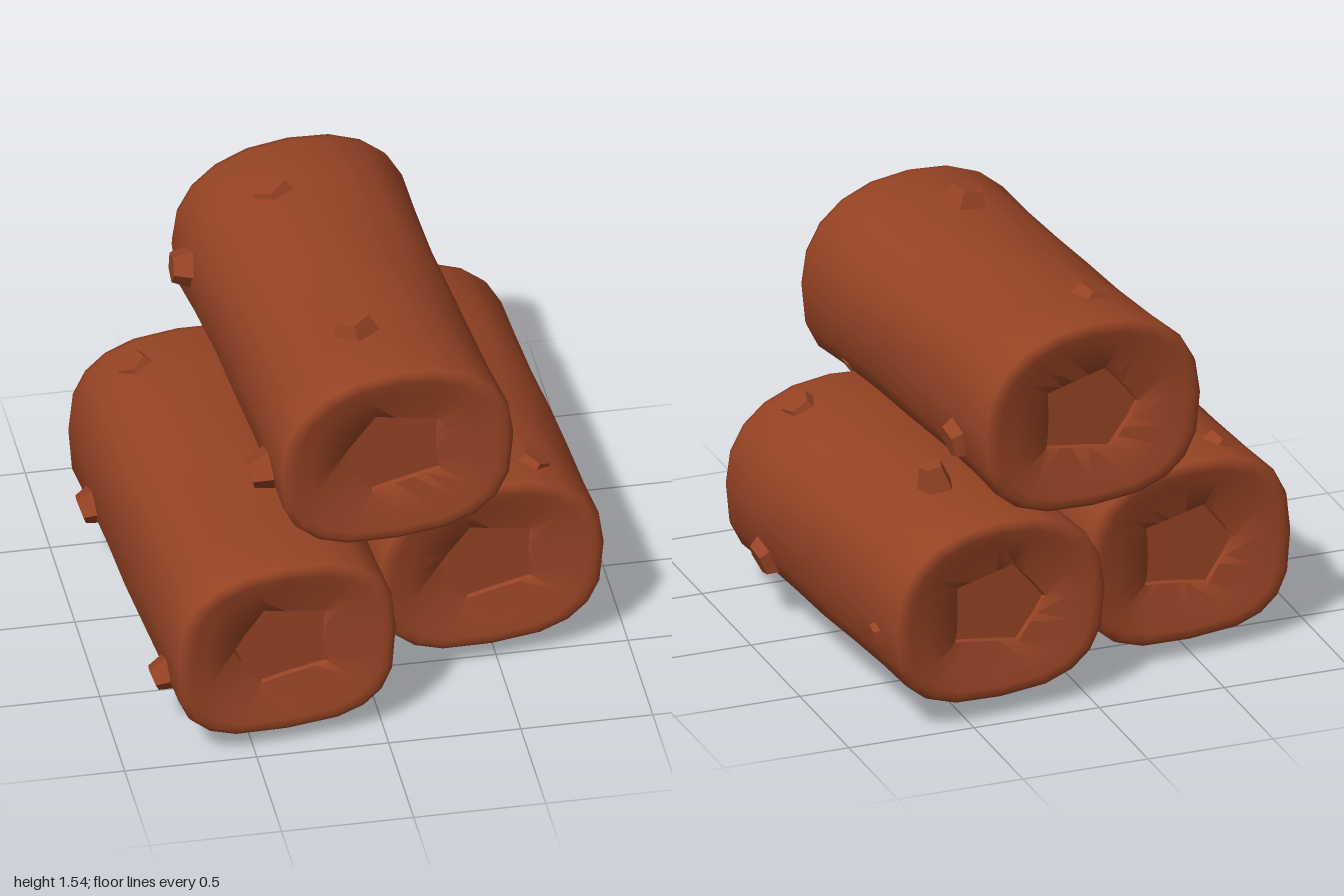
import * as THREE from 'three';
import { toCreasedNormals } from 'three/addons/utils/BufferGeometryUtils.js';

const UP = new THREE.Vector3(0, 1, 0);
const SIDES = 20;

// Each log: axis ends, half width and height, squareness, waist, and
// knots as [angle in degrees, z, tip distance from the axis, radius]
const leftLog = {
  name: 'leftLog', front: new THREE.Vector3(-0.373, 0.435, 0.95), back: new THREE.Vector3(-0.483, 0.435, -0.705),
  width: 0.428, height: 0.367, squareness: 2.6, waist: 0.01,
  knots: [[262, 0.68, 0.43, 0.09], [270, -0.4, 0.42, 0.09], [199, -0.33, 0.485, 0.09],
    [202, 0.77, 0.5, 0.08], [122, -0.52, 0.42, 0.09], [336, 0.65, 0.45, 0.07]],
};
const rightLog = {
  name: 'rightLog', front: new THREE.Vector3(0.475, 0.44, 0.555), back: new THREE.Vector3(0.37, 0.44, -0.955),
  width: 0.442, height: 0.362, squareness: 2.3, waist: 0.01,
  knots: [[266, 0.26, 0.435, 0.1], [259, -0.65, 0.4, 0.08], [336, 0.2, 0.485, 0.1],
    [350, -0.82, 0.465, 0.06], [58, 0.37, 0.41, 0.09], [78, -0.54, 0.45, 0.07]],
};
const topLog = {
  name: 'topLog', front: new THREE.Vector3(0.083, 1.112, 0.75), back: new THREE.Vector3(-0.037, 1.127, -0.855),
  width: 0.457, height: 0.378, squareness: 2.25, waist: 0.05,
  knots: [[102, 0.41, 0.425, 0.1], [112, -0.55, 0.405, 0.1], [177, -0.58, 0.51, 0.09],
    [196, 0.55, 0.53, 0.09], [345, -0.62, 0.49, 0.1], [328, 0.43, 0.46, 0.05]],
};

// Rings of an end, from its sunken five-sided heart to the rim:
// [outline scale, distance inward from the end]
const END = [[0.001, 0.06], [0.44, 0.06], [0.46, 0.045], [0.72, 0.018], [0.86, 0.002], [0.93, 0], [0.98, 0.012], [1, 0.04]];

const bulge = (value, power) => Math.sign(value) * Math.abs(value) ** (2 / power);

function trunkGeometry({ front, back, width, height, squareness, waist }) {
  const length = front.distanceTo(back);
  const rings = END.map(([scale, inset]) => [scale, inset / length]);
  for (let i = 1; i < 6; i++) rings.push([1, i / 6]);
  END.slice().reverse().forEach(([scale, inset]) => rings.push([scale, 1 - inset / length]));

  const positions = [], index = [];
  rings.forEach(([scale, t], r) => {
    const centre = front.clone().lerp(back, t);
    const middle = Math.sin(Math.PI * t);
    for (let i = 0; i < SIDES; i++) {
      const angle = (i / SIDES) * Math.PI * 2;
      // the underside is squarer than the top, and the bark slightly lumpy
      const power = squareness + (Math.sin(angle) < 0 ? 0.5 : 0);
      const lump = 1 + 0.012 * middle * Math.sin(i * 1.85 + t * 9);
      // the heart of each end is a pentagon
      const local = ((i % 4) / 4 - 0.5) * Math.PI * 0.4;
      const heart = scale < 0.5 ? Math.cos(Math.PI / 5) / Math.cos(local) : 1;
      const size = scale * heart * lump * (1 - waist * middle);
      const dx = -bulge(Math.cos(angle), power) * width * size;
      const dy = bulge(Math.sin(angle), power) * height * size;
      // ends are cut slightly askew
      positions.push(centre.x + dx, centre.y + dy, centre.z - 0.11 * dx);
      if (r < rings.length - 1) {
        const p = r * SIDES + i, q = r * SIDES + (i + 1) % SIDES;
        index.push(p, q, p + SIDES, q, q + SIDES, p + SIDES);
      }
    }
  });
  const geometry = new THREE.BufferGeometry();
  geometry.setAttribute('position', new THREE.Float32BufferAttribute(positions, 3));
  geometry.setIndex(index);
  return toCreasedNormals(geometry, 0.95);
}

// Tapered branch stub pointing away from the log axis
function branchStub({ front, back }, [degrees, z, reach, radius], material) {
  const depth = 0.16;
  const angle = THREE.MathUtils.degToRad(degrees);
  const direction = new THREE.Vector3(Math.cos(angle), Math.sin(angle), 0);
  const geometry = new THREE.CylinderGeometry(radius * 0.65, radius * 1.3, depth, 5);
  const mesh = new THREE.Mesh(toCreasedNormals(geometry, 0.6), material);
  mesh.name = 'branchStub';
  mesh.quaternion.setFromUnitVectors(UP, direction);
  mesh.position.lerpVectors(front, back, (front.z - z) / (front.z - back.z));
  mesh.position.addScaledVector(direction, reach - depth / 2);
  return mesh;
}

export function createModel() {
  const model = new THREE.Group();
  model.name = 'logPile';
  const bark = new THREE.MeshStandardMaterial({ color: 0x964324 });
  bark.name = 'reddish brown bark';

  for (const log of [leftLog, rightLog, topLog]) {
    const group = new THREE.Group();
    group.name = log.name;
    const trunk = new THREE.Mesh(trunkGeometry(log), bark);
    trunk.name = 'trunk';
    group.add(trunk, ...log.knots.map((knot) => branchStub(log, knot, bark)));
    model.add(group);
  }
  return model;
}
